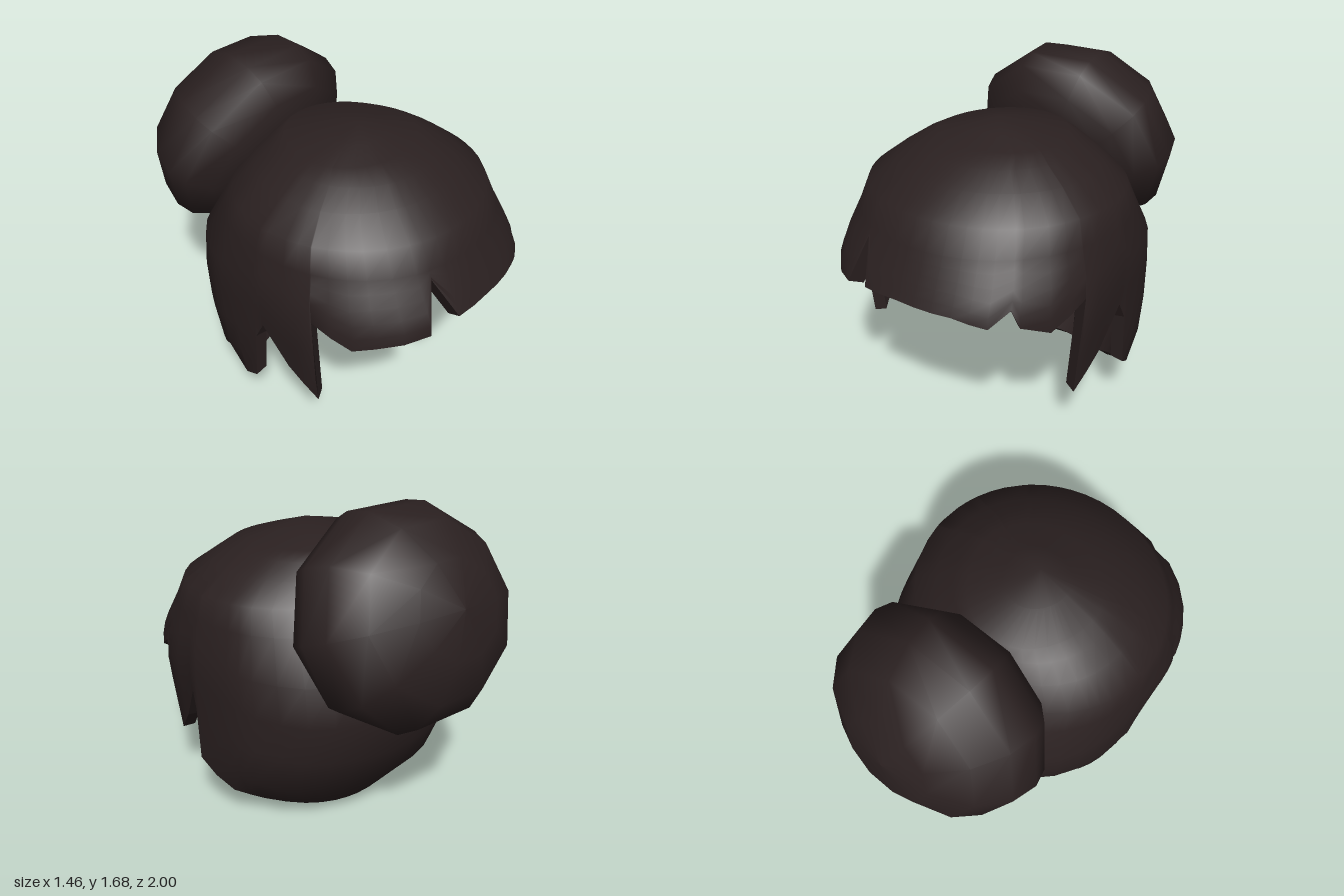
import * as THREE from 'three';
import { mergeVertices } from 'three/addons/utils/BufferGeometryUtils.js';

const MID_Z = 0.2;

// Cap sections, top down: height, half width, depth to front, depth to back
const SECTIONS = [
  [1.49, 0, 0, 0], [1.41, 0.33, 0.26, 0.39], [1.37, 0.41, 0.38, 0.44], [1.3, 0.52, 0.48, 0.51],
  [1.2, 0.655, 0.63, 0.59], [0.95, 0.72, 0.755, 0.74], [0.86, 0.73, 0.8, 0.78], [0.69, 0.73, 0.8, 0.8],
  [0.5, 0.73, 0.8, 0.79], [0.31, 0.73, 0.8, 0.7], [0.23, 0.71, 0.8, 0.66], [0.17, 0.68, 0.8, 0.61],
  [0.1, 0.58, 0.8, 0.55], [0, 0.42, 0.8, 0.46],
];

// Shared rows of the dome; below the last one the rows fan out to the hem
const DOME_ROWS = [1.49, 1.45, 1.41, 1.37, 1.3, 1.2, 1.08];
const HEM_ROWS = 5;

// Hem: angle from the front in degrees, height. Side lock and nape are mirrored.
const SIDE_HEM = [
  [67.5, 0.86], [68, 0.31], [79, 0.47], [88.5, 0.68], [91.5, 0.59], [93, 0.31],
  [111, 0.17], [122, 0.1], [141, 0.04], [180, 0],
];
const LEFT_HEM = [[0, 0.86], [22, 0.85], [34, 0.81], [41, 0.89], [44, 0.81], [54, 0.755], ...SIDE_HEM];
const RIGHT_HEM = [[0, 0.86], [16, 0.85], [23, 1.04], [28, 0.81], [47, 0.78], [54, 0.755], ...SIDE_HEM];

function section(y) {
  let i = 1;
  while (i < SECTIONS.length - 1 && SECTIONS[i][0] > y) i++;
  const a = SECTIONS[i - 1], b = SECTIONS[i];
  const t = (a[0] - y) / (a[0] - b[0]);
  return a.map((v, k) => THREE.MathUtils.lerp(v, b[k], t));
}

// Point on the cap; the outline gets squarer toward the hem
function capPoint(degrees, y) {
  const [, w, front, back] = section(y);
  const a = THREE.MathUtils.degToRad(degrees);
  const s = Math.sin(a), c = Math.cos(a);
  const p = THREE.MathUtils.clamp(2.5 - 1.5 * (y - 0.8), 2, c > 0 ? 2.5 : 2.3);
  const r = Math.pow(Math.abs(s) ** p + Math.abs(c) ** p, -1 / p);
  // side locks bend inward toward their tips
  const bend = c > 0 && y < 0.75 ? 1 - 0.18 * (0.75 - y) : 1;
  return new THREE.Vector3(w * r * s * bend, y, MID_Z + (c > 0 ? front : back) * r * c);
}

// One column of the cap from the crown to the hem
function capColumn([degrees, hemY]) {
  const start = DOME_ROWS[DOME_ROWS.length - 1];
  const heights = [...DOME_ROWS];
  for (let k = 1; k <= HEM_ROWS; k++) heights.push(THREE.MathUtils.lerp(start, hemY, k / HEM_ROWS));
  return heights.map(y => capPoint(degrees, y));
}

// Adds columns between hem points so that none is wider than ten degrees
function subdivide(hem) {
  const out = [hem[0]];
  for (let i = 1; i < hem.length; i++) {
    const [a0, y0] = hem[i - 1], [a1, y1] = hem[i];
    const n = Math.ceil(Math.abs(a1 - a0) / 10);
    for (let k = 1; k <= n; k++) out.push([a0 + (a1 - a0) * k / n, y0 + (y1 - y0) * k / n]);
  }
  return out;
}

// Skin over columns of points that run downward
function skin(columns, flipped, flat) {
  const pos = [], index = [], rows = columns[0].length;
  columns.forEach(col => col.forEach(p => pos.push(p.x, p.y, p.z)));
  for (let i = 0; i < columns.length - 1; i++) {
    for (let j = 0; j < rows - 1; j++) {
      const a = i * rows + j, b = a + rows, c = a + 1, d = b + 1;
      index.push(...(flipped ? [a, b, c, b, d, c] : [a, c, b, b, c, d]));
    }
  }
  let geo = new THREE.BufferGeometry();
  geo.setAttribute('position', new THREE.Float32BufferAttribute(pos, 3));
  geo.setIndex(index);
  geo = flat ? geo.toNonIndexed() : mergeVertices(geo, 1e-4);
  geo.computeVertexNormals();
  return geo;
}

export function createModel() {
  const model = new THREE.Group();
  model.name = 'hair';
  const brown = new THREE.MeshStandardMaterial({ color: 0x2a2020 });
  brown.name = 'dark brown hair';
  const add = (name, geo, parent) => {
    const mesh = new THREE.Mesh(geo, brown);
    mesh.name = name;
    parent.add(mesh);
    return mesh;
  };

  // Full hem loop: left side front to back, then right side back to front
  const left = subdivide(LEFT_HEM);
  const right = subdivide(RIGHT_HEM).map(([a, y]) => [-a, y]).reverse();
  const hem = [...left, ...right.slice(1)];

  // Cap shell: outside, lining and the rim between them
  const outer = hem.map(capColumn);
  const heart = new THREE.Vector3(0, 0.45, MID_Z);
  const inner = outer.map(col => col.map(p => p.clone().lerp(heart, 0.09)));
  const rim = outer.map((col, i) => [col.at(-1), inner[i].at(-1)]);

  const cap = new THREE.Group();
  cap.name = 'cap';
  model.add(cap);
  add('capOutside', skin(outer, false, false), cap);
  add('capLining', skin(inner, true, false), cap);
  add('capRim', skin(rim, false, true), cap);

  // Domed bun facing back and slightly up, sunk into the cap
  const profile = [
    [0, -0.33], [0.18, -0.305], [0.33, -0.25], [0.43, -0.195], [0.515, -0.09],
    [0.535, 0.01], [0.505, 0.15], [0.4, 0.295], [0.22, 0.4], [0, 0.435],
  ].map(([r, h]) => new THREE.Vector2(r, h));
  const bun = add('bun', new THREE.LatheGeometry(profile, 10, Math.PI / 2), model);
  bun.scale.set(1.1, 1, 1.045);
  bun.rotation.x = -1.198;
  bun.position.set(0, 1.158, -0.546);

  return model;
}
